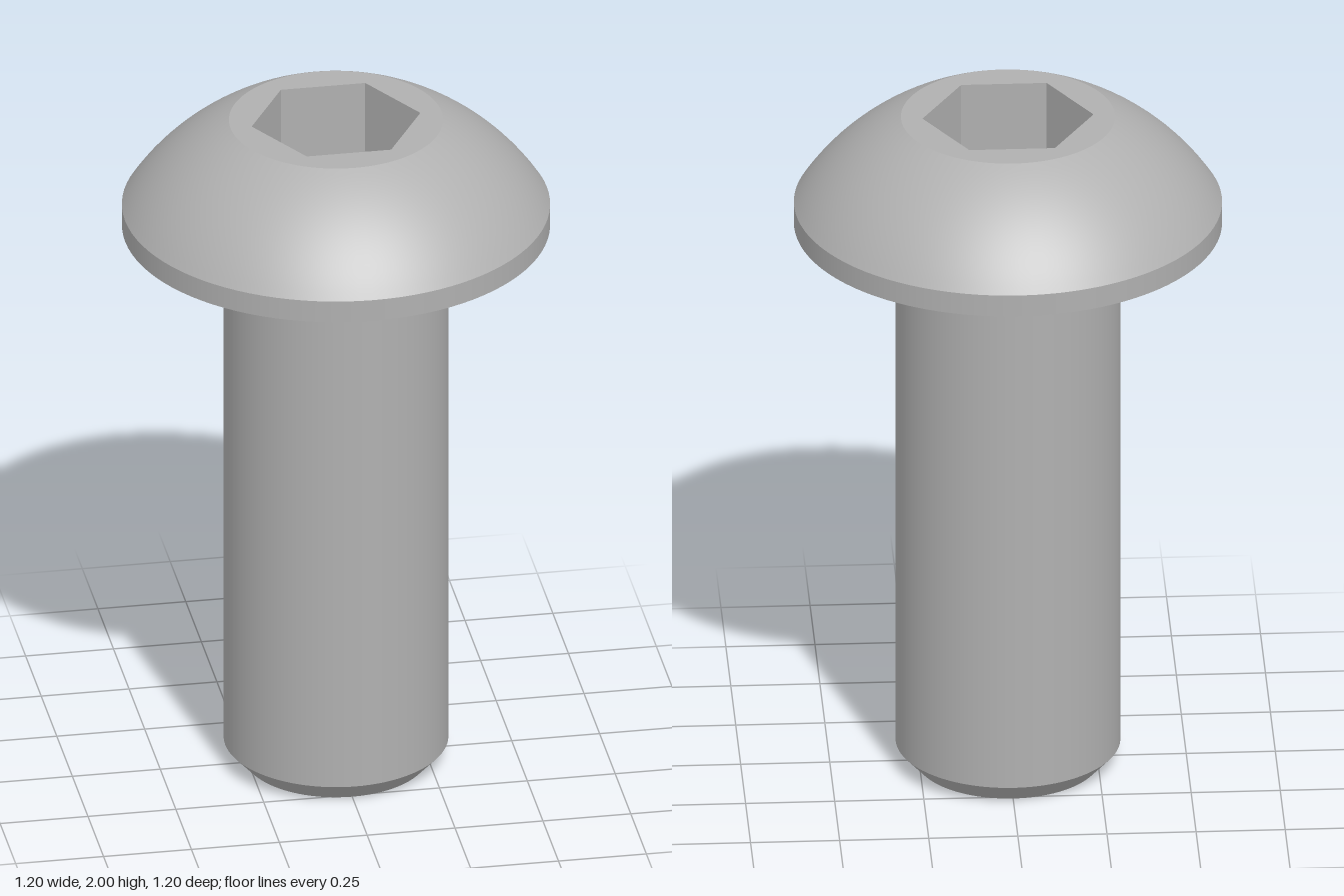
import * as THREE from 'three';

export function createModel() {
  const model = new THREE.Group();
  model.name = 'buttonHeadScrew';
  const steel = new THREE.MeshStandardMaterial({ color: 0xb0b0b0 });
  steel.name = 'steel grey';

  const add = (parent, name, geometry) => {
    const mesh = new THREE.Mesh(geometry, steel);
    mesh.name = name;
    parent.add(mesh);
    return mesh;
  };
  const group = (name) => {
    const g = new THREE.Group();
    g.name = name;
    model.add(g);
    return g;
  };
  // One smooth band of revolution; separate bands keep sharp edges between them
  const band = (parent, name, points) =>
    add(parent, name, new THREE.LatheGeometry(points.map(([r, y]) => new THREE.Vector2(r, y)), 96));

  const shankR = 0.315, headR = 0.6, topR = 0.3;
  const chamferY = 0.06, headY = 1.67, domeY = 1.735, topY = 2;
  const socketR = 0.24, socketDepth = 0.23;

  // Shank with chamfered tip
  const shank = group('shank');
  band(shank, 'tipFace', [[0, 0], [0.26, 0]]);
  band(shank, 'tipChamfer', [[0.26, 0], [shankR, chamferY]]);
  band(shank, 'shankSide', [[shankR, chamferY], [shankR, headY]]);

  // Head: underside, rim and spherical dome centred on the axis
  const head = group('head');
  band(head, 'headUnderside', [[shankR, headY], [headR, headY]]);
  band(head, 'headRim', [[headR, headY], [headR, domeY]]);
  const centreY = (topR ** 2 + topY ** 2 - headR ** 2 - domeY ** 2) / (2 * (topY - domeY));
  const domeR = Math.hypot(headR, domeY - centreY);
  const a0 = Math.atan2(domeY - centreY, headR);
  const a1 = Math.atan2(topY - centreY, topR);
  const dome = [];
  for (let i = 0; i <= 16; i++) {
    const a = a0 + (a1 - a0) * i / 16;
    dome.push([domeR * Math.cos(a), centreY + domeR * Math.sin(a)]);
  }
  band(head, 'headDome', dome);

  // Flat top with hexagonal opening
  const top = new THREE.Shape().absarc(0, 0, topR, 0, Math.PI * 2, false);
  const hex = new THREE.Path();
  for (let i = 0; i < 6; i++) {
    const a = -i * Math.PI / 3;
    hex[i ? 'lineTo' : 'moveTo'](socketR * Math.cos(a), socketR * Math.sin(a));
  }
  hex.closePath();
  top.holes.push(hex);
  add(head, 'headTop', new THREE.ShapeGeometry(top, 96).rotateX(-Math.PI / 2).translate(0, topY, 0));

  // Hex socket: walls mirrored to face inwards, plus floor
  const socket = group('hexSocket');
  const walls = new THREE.CylinderGeometry(socketR, socketR, socketDepth, 6, 1, true, Math.PI / 2)
    .toNonIndexed().scale(-1, 1, 1).translate(0, topY - socketDepth / 2, 0);
  walls.computeVertexNormals();
  add(socket, 'socketWalls', walls);
  add(socket, 'socketFloor',
    new THREE.CircleGeometry(socketR, 6).rotateX(-Math.PI / 2).translate(0, topY - socketDepth, 0));

  return model;
}
